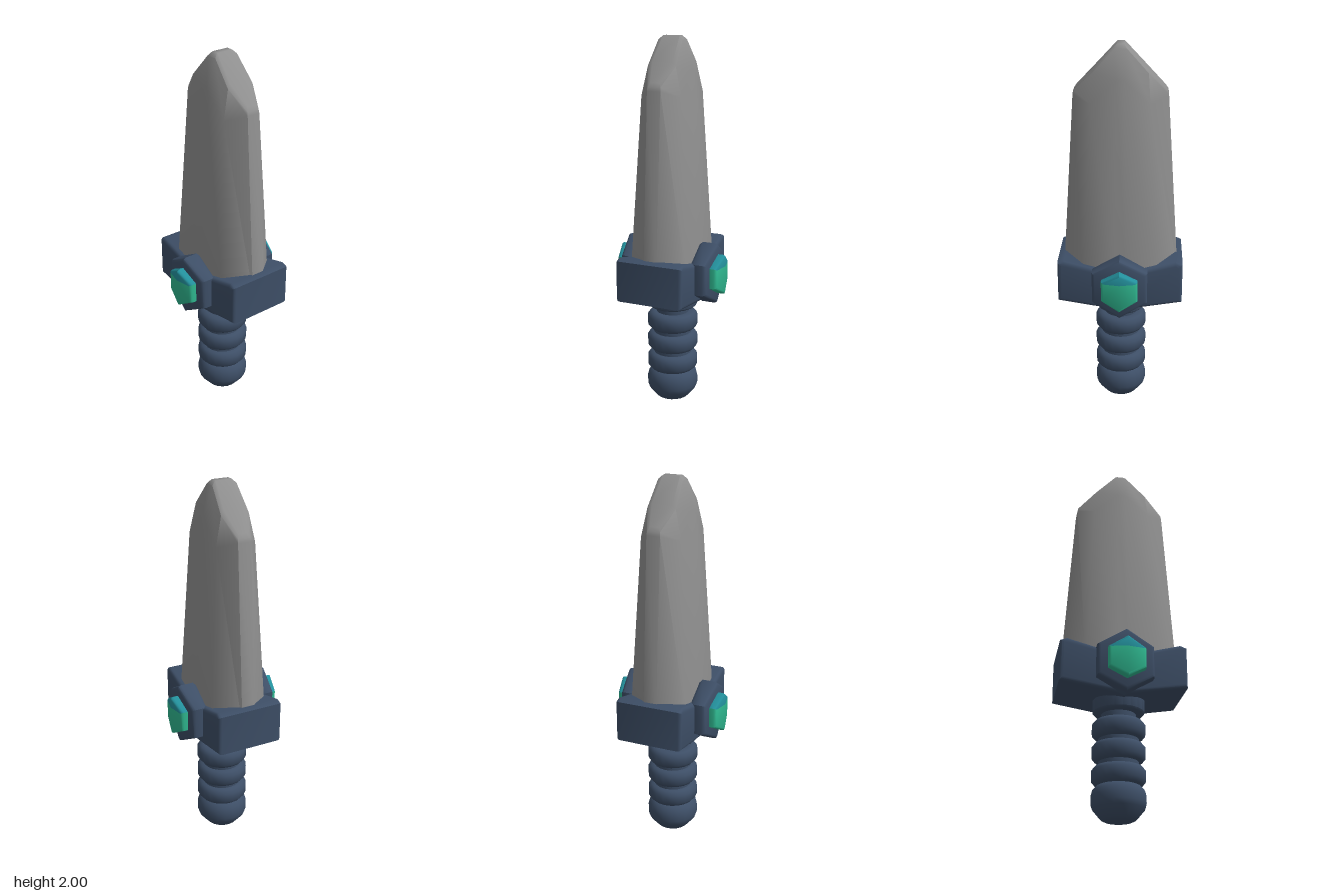
import * as THREE from 'three';
import { toCreasedNormals } from 'three/addons/utils/BufferGeometryUtils.js';

const flat = (name, color) => {
  const m = new THREE.MeshStandardMaterial({ color });
  m.name = name;
  return m;
};

// Builds a creased geometry from lists of triangles, one list per material
function fromTriangles(lists, crease) {
  const geo = new THREE.BufferGeometry();
  geo.setAttribute('position', new THREE.Float32BufferAttribute(lists.flat(3), 3));
  let start = 0;
  lists.forEach((list, i) => {
    geo.addGroup(start, list.length * 3, i);
    start += list.length * 3;
  });
  return toCreasedNormals(geo, crease);
}

const quad = (a, b, c, d) => [[a, b, c], [a, c, d]];

// Blade: cross-sections mirrored from their front right quarter
function bladeGeometry() {
  const rings = [
    [[0.307, 0.78, 0.036], [0.197, 0.78, 0.158], [0.03, 0.78, 0.158]],
    [[0.242, 1.745, 0.036], [0.15, 1.71, 0.108], [0.02, 1.83, 0.11]],
    [[0.238, 1.765, 0.034], [0.14, 1.86, 0.075], [0.03, 1.98, 0.066]],
    [[0.225, 1.785, 0.025], [0.13, 1.88, 0.055], [0.018, 2, 0.045]],
  ].map((q) => {
    const front = [...q, ...q.map(([x, y, z]) => [-x, y, z]).reverse()];
    return [...front, ...front.map(([x, y, z]) => [x, y, -z]).reverse()];
  });
  const tris = [];
  for (let r = 0; r < rings.length - 1; r++) {
    const lo = rings[r], up = rings[r + 1];
    for (let i = 0; i < 12; i++) {
      const n = (i + 1) % 12;
      tris.push(...quad(lo[i], up[i], up[n], lo[n]));
    }
  }
  // narrow roof along the pointed end
  const top = rings[rings.length - 1];
  for (let i = 0; i < 5; i++) tris.push(...quad(top[i], top[11 - i], top[10 - i], top[i + 1]));
  return fromTriangles([tris], 0.9);
}

// Bevelled hexagon facing +z, its front folded along the vertical middle.
// The upper facets form the second material group.
function hexGeometry(radius, back, front, bevel, fold) {
  const ring = (r, z, k) => Array.from({ length: 6 }, (_, i) => {
    const x = -r * Math.sin((i * Math.PI) / 3);
    return [x, r * Math.cos((i * Math.PI) / 3), z - k * Math.abs(x)];
  });
  const rings = [
    ring(radius - bevel, back, 0),
    ring(radius, back + bevel, 0),
    ring(radius, front - bevel, fold),
    ring(radius - bevel * 0.3, front - bevel * 0.3, fold),
    ring(radius - bevel, front, fold),
  ];
  const lower = [], upper = [];
  for (let r = 0; r < rings.length - 1; r++) {
    for (let i = 0; i < 6; i++) {
      const n = (i + 1) % 6;
      const side = quad(rings[r][i], rings[r][n], rings[r + 1][n], rings[r + 1][i]);
      (i === 0 || i === 5 ? upper : lower).push(...side);
    }
  }
  const face = rings[rings.length - 1];
  const middle = [0, face[1][1], front];
  for (let i = 0; i < 6; i++) {
    (i === 0 || i === 5 ? upper : lower).push([middle, face[i], face[(i + 1) % 6]]);
  }
  for (let i = 1; i < 5; i++) lower.push([rings[0][0], rings[0][i + 1], rings[0][i]]);
  return fromTriangles([lower, upper], 0.75);
}

// Guard: bent bar with rounded edges
function guardGeometry() {
  const right = [[0.33, 0.655], [0.33, 0.875], [0.295, 0.888]];
  const shape = new THREE.Shape();
  shape.moveTo(0, 0.6);
  right.forEach(([x, y]) => shape.lineTo(x, y));
  shape.lineTo(0, 0.81);
  right.slice().reverse().forEach(([x, y]) => shape.lineTo(-x, y));
  shape.closePath();
  const geo = new THREE.ExtrudeGeometry(shape, {
    depth: 0.33, bevelThickness: 0.02, bevelSize: 0.02, bevelOffset: -0.02, bevelSegments: 3,
  });
  geo.translate(0, 0, -0.165);
  return toCreasedNormals(geo, 0.7);
}

// Grip: pommel, three ribs and a collar turned as one profile
function gripGeometry() {
  const profile = [
    [0, 0], [0.07, 0], [0.09, 0.01], [0.132, 0.06], [0.14, 0.085],
    [0.14, 0.12], [0.132, 0.15], [0.115, 0.17], [0.105, 0.175],
  ];
  for (const y of [0.225, 0.345, 0.465]) {
    profile.push([0.105, y - 0.05], [0.122, y - 0.045], [0.138, y - 0.025],
      [0.138, y + 0.025], [0.122, y + 0.045], [0.105, y + 0.05]);
  }
  profile.push([0.09, 0.515], [0.09, 0.548], [0.125, 0.55], [0.135, 0.56], [0.135, 0.66]);
  const points = profile.map(([x, y]) => new THREE.Vector2(x, y));
  return toCreasedNormals(new THREE.LatheGeometry(points, 20), 0.8);
}

export function createModel() {
  const steel = flat('steel grey', 0x8f8f8f);
  const navy = flat('navy', 0x3d4e66);
  const green = flat('gem green', 0x2fb890);
  const teal = flat('gem teal', 0x23909c);

  const model = new THREE.Group();
  model.name = 'dagger';
  const add = (parent, name, geo, material) => {
    const mesh = new THREE.Mesh(geo, material);
    mesh.name = name;
    parent.add(mesh);
    return mesh;
  };

  add(model, 'blade', bladeGeometry(), steel);
  add(model, 'guard', guardGeometry(), navy);
  add(model, 'grip', gripGeometry(), navy);

  // Hexagonal setting and gem on the front and the back
  const setting = hexGeometry(0.168, 0.156, 0.262, 0.018, 0.14);
  const gem = hexGeometry(0.11, 0.22, 0.304, 0.014, 0.2);
  ['front', 'back'].forEach((side, i) => {
    const ornament = new THREE.Group();
    ornament.name = side + 'Ornament';
    ornament.position.y = 0.76;
    ornament.rotation.y = i * Math.PI;
    add(ornament, side + 'Setting', setting, [navy, navy]);
    add(ornament, side + 'Gem', gem, [green, teal]);
    model.add(ornament);
  });
  return model;
}
